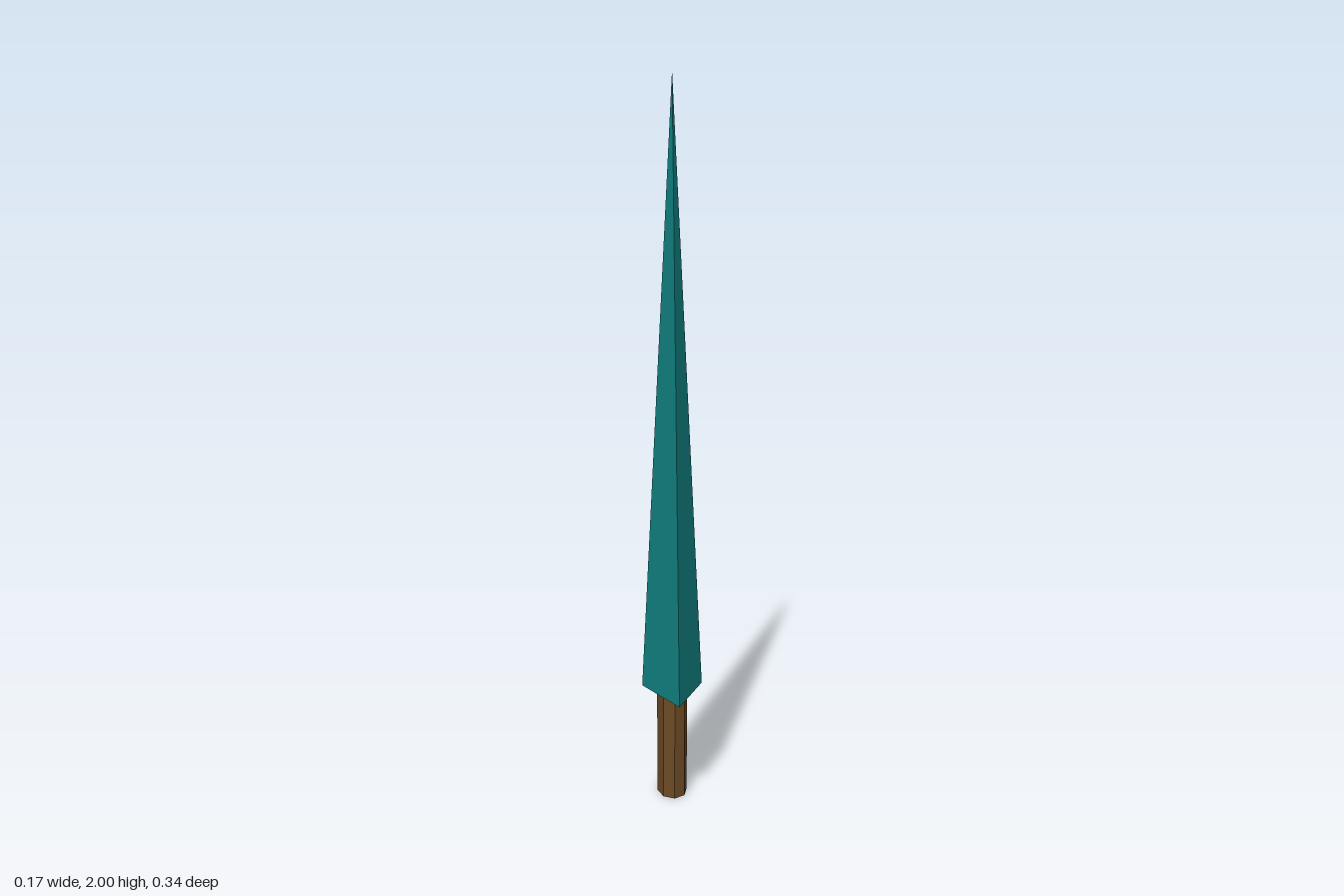
import * as THREE from 'three';

export function createModel() {
  const tree = new THREE.Group();
  tree.name = 'tree';

  const addPart = (name, geometry, color, y, xRadius, zRadius) => {
    const material = new THREE.MeshStandardMaterial({ color, flatShading: true });
    const mesh = new THREE.Mesh(geometry, material);
    mesh.name = name;
    mesh.position.y = y;
    mesh.scale.set(xRadius, 1, zRadius);
    tree.add(mesh);
  };

  // Eight-sided oval trunk, ending just inside the foliage
  const trunkHeight = 0.34;
  addPart('trunk', new THREE.CylinderGeometry(1, 1, trunkHeight, 8), 0x6b4a24, trunkHeight / 2, 0.042, 0.063);

  // Four-sided foliage spire with a diamond base
  const base = 0.32;
  const spireHeight = 2 - base;
  addPart('foliage', new THREE.ConeGeometry(1, spireHeight, 4), 0x118080, base + spireHeight / 2, 0.084, 0.168);

  return tree;
}
